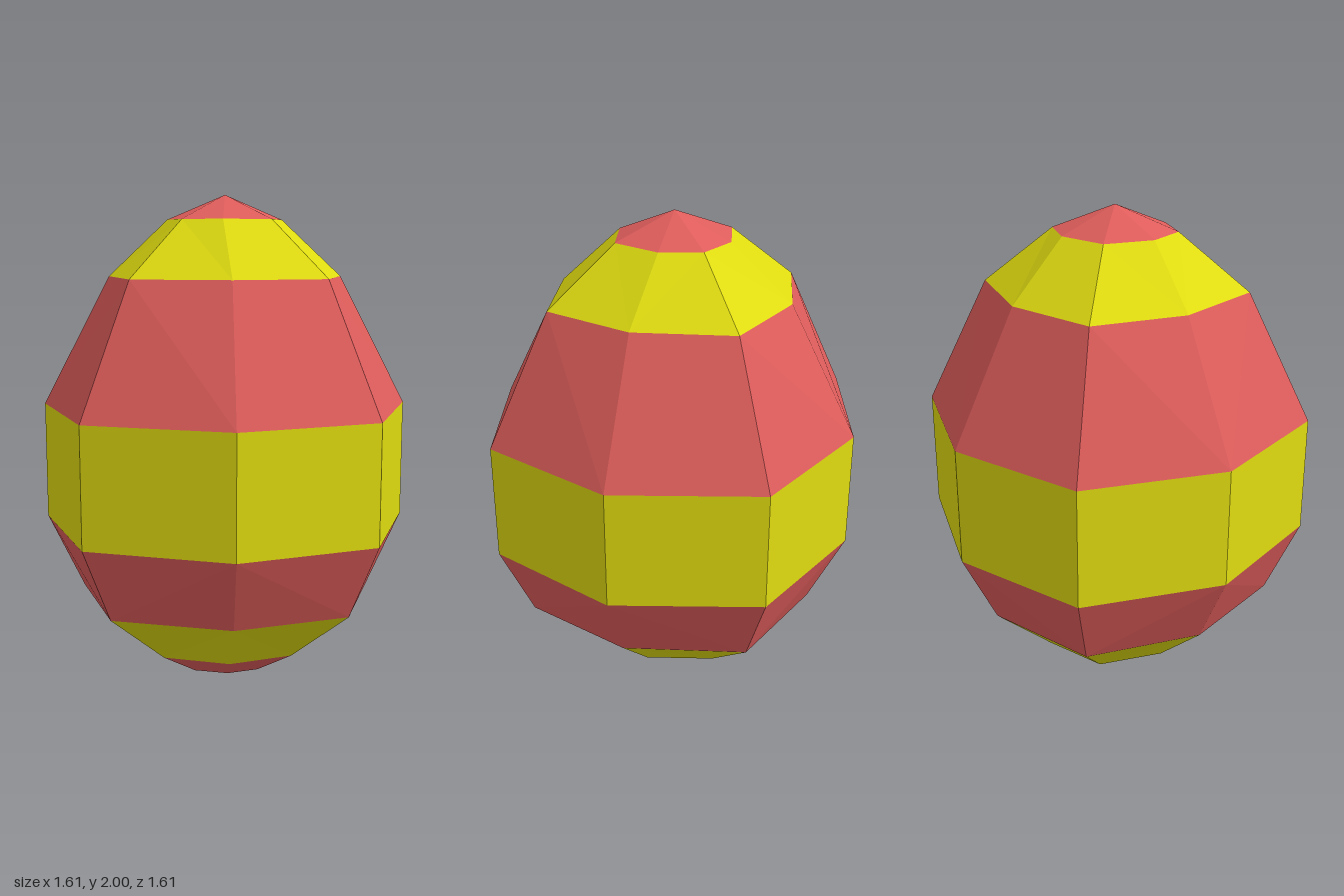
import * as THREE from 'three';

// Cross-sections from bottom to top: height, axis radius, diagonal corner x and z
const RINGS = [
  [0, 0.19, 0.125, 0.12],
  [0.11, 0.375, 0.25, 0.245],
  [0.345, 0.665, 0.435, 0.425],
  [0.655, 0.803, 0.542, 0.53],
  [1.14, 0.803, 0.542, 0.53],
  [1.67, 0.54, 0.345, 0.335],
  [1.9, 0.253, 0.155, 0.18],
];
const TOP = [0, 2, 0];

// Eight corners, running from +z towards +x
function ringPoints([y, r, dx, dz]) {
  return [
    [0, y, r], [dx, y, dz], [r, y, 0], [dx, y, -dz],
    [0, y, -r], [-dx, y, -dz], [-r, y, 0], [-dx, y, dz],
  ];
}

function meshFrom(name, triangles, material) {
  const geometry = new THREE.BufferGeometry();
  geometry.setAttribute('position', new THREE.Float32BufferAttribute(triangles.flat(2), 3));
  geometry.computeVertexNormals();
  const mesh = new THREE.Mesh(geometry, material);
  mesh.name = name;
  return mesh;
}

// Faceted band; each quad is split from the wide ring's diagonal corner
// to the narrow ring's axis corner
function band(lower, upper) {
  const a = ringPoints(lower), b = ringPoints(upper);
  const narrowsUp = upper[1] < lower[1];
  const triangles = [];
  for (let k = 0; k < 8; k++) {
    const n = (k + 1) % 8;
    if ((k % 2 === 0) === narrowsUp) triangles.push([a[k], a[n], b[k]], [a[n], b[n], b[k]]);
    else triangles.push([a[k], a[n], b[n]], [a[k], b[n], b[k]]);
  }
  return triangles;
}

// Fan closing a ring to a centre point
function cap(ring, centre, facingUp) {
  const p = ringPoints(ring);
  return p.map((v, k) => {
    const next = p[(k + 1) % 8];
    return facingUp ? [v, next, centre] : [next, v, centre];
  });
}

export function createModel() {
  const red = new THREE.MeshStandardMaterial({ color: 0xde5d5b, flatShading: true });
  red.name = 'coralRed';
  const yellow = new THREE.MeshStandardMaterial({ color: 0xdfdb10, flatShading: true });
  yellow.name = 'yellow';

  const egg = new THREE.Group();
  egg.name = 'stripedEgg';

  // Flat base
  egg.add(meshFrom('base', cap(RINGS[0], [0, 0, 0], false), yellow));

  // Alternating stripes
  const names = ['bottomStripe', 'lowerStripe', 'lowerMiddleStripe', 'middleStripe', 'upperMiddleStripe', 'upperStripe'];
  names.forEach((name, i) => {
    egg.add(meshFrom(name, band(RINGS[i], RINGS[i + 1]), i % 2 ? yellow : red));
  });

  // Pointed tip
  egg.add(meshFrom('tip', cap(RINGS[6], TOP, true), red));
  return egg;
}
